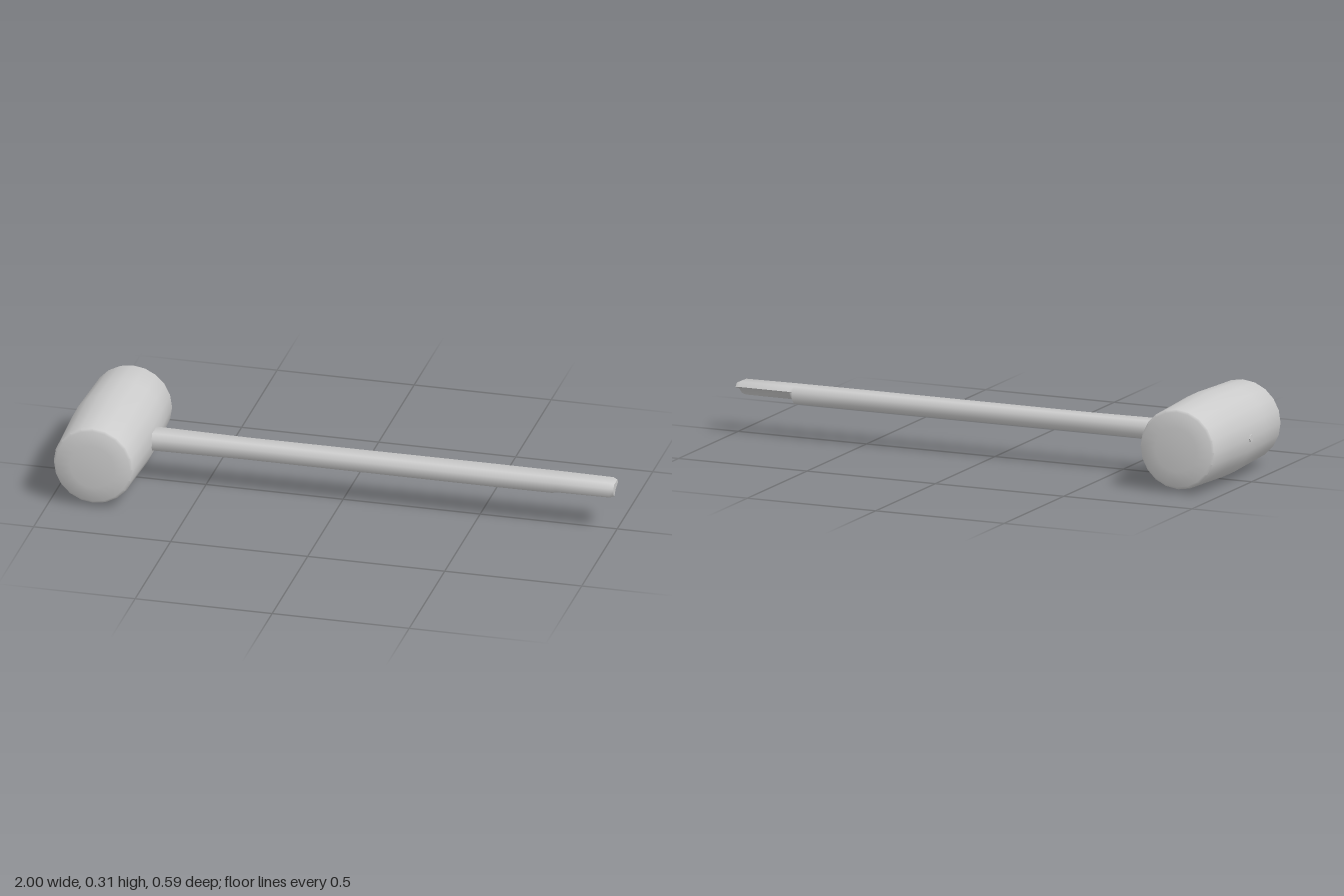
import * as THREE from 'three';
import { toCreasedNormals } from 'three/addons/utils/BufferGeometryUtils.js';

const HEAD_X = -0.84, AXIS_Y = 0.158;

// Eight-sided grip section as [z, y] factors of half width and half height
const SECTION = [[1, 0.45], [0.65, 1], [-0.65, 1], [-1, 0.45], [-1, -0.45], [-0.65, -1], [0.65, -1], [1, -0.45]];
// Same section with the lower back corner carved away
const CARVED = SECTION.map((p, i) => ({ 4: [-0.85, 0.35], 5: [0, -0.05], 6: [0.6, -0.9] }[i] ?? p));

// Skin a row of rings along x and close the far end
function loft(stations) {
  const rings = stations.map(([x, w, h, section]) =>
    section.map(([z, y]) => [x, AXIS_Y + y * h, z * w]));
  const pos = [];
  const tri = (...pts) => pts.forEach(p => pos.push(...p));
  for (let i = 0; i < rings.length - 1; i++) {
    const n = rings[i].length;
    for (let j = 0; j < n; j++) {
      const a = rings[i][j], b = rings[i][(j + 1) % n];
      const d = rings[i + 1][j], c = rings[i + 1][(j + 1) % n];
      tri(a, d, c);
      tri(a, c, b);
    }
  }
  const end = rings[rings.length - 1];
  for (let k = 1; k < end.length - 1; k++) tri(end[0], end[k + 1], end[k]);
  const geo = new THREE.BufferGeometry();
  geo.setAttribute('position', new THREE.Float32BufferAttribute(pos, 3));
  return toCreasedNormals(geo, 1.1);
}

export function createModel() {
  const group = new THREE.Group();
  const material = new THREE.MeshStandardMaterial({ color: 0xcccccc });
  const add = (name, geo) => {
    const mesh = new THREE.Mesh(geo, material);
    mesh.name = name;
    group.add(mesh);
    return mesh;
  };

  // Barrel-shaped head with softened rims, lying along z
  const half = [[0, 0.293], [0.08, 0.292], [0.135, 0.284], [0.143, 0.279], [0.146, 0.27], [0.151, 0.14]];
  const profile = [
    ...half.map(([r, z]) => new THREE.Vector2(r, -z)),
    new THREE.Vector2(0.157, 0),
    ...half.map(([r, z]) => new THREE.Vector2(r, z)).reverse(),
  ];
  const headGeo = new THREE.LatheGeometry(profile, 20);
  headGeo.rotateX(Math.PI / 2);
  add('head', toCreasedNormals(headGeo, 0.7)).position.set(HEAD_X, AXIS_Y, 0);

  // Handle with a slight waist, a carved underside near the end and a rounded tip
  add('handle', loft([
    [-0.78, 0.046, 0.034, SECTION],
    [-0.64, 0.045, 0.033, SECTION],
    [-0.35, 0.04, 0.031, SECTION],
    [0.1, 0.043, 0.031, SECTION],
    [0.55, 0.046, 0.031, SECTION],
    [0.77, 0.044, 0.031, SECTION],
    [0.785, 0.044, 0.031, CARVED],
    [0.98, 0.041, 0.03, CARVED],
    [0.995, 0.034, 0.024, CARVED],
  ]));

  // Small pin on the side of the head opposite the handle
  const pinGeo = new THREE.CylinderGeometry(0.014, 0.014, 0.03, 6);
  pinGeo.rotateZ(Math.PI / 2);
  add('pin', toCreasedNormals(pinGeo, 0.6)).position.set(-0.985, AXIS_Y, 0);

  return group;
}
